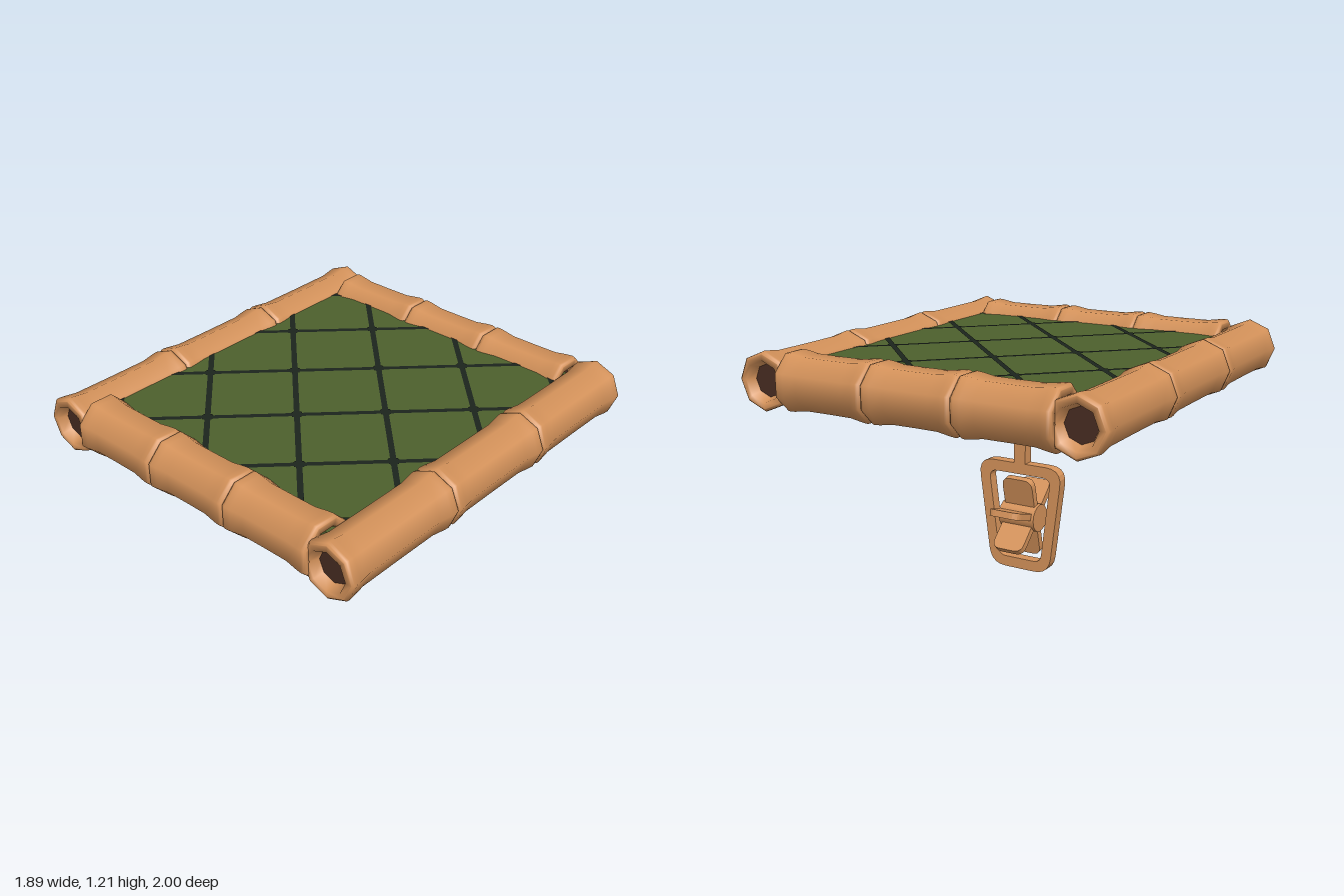
import * as THREE from 'three';

const mat = (name, color, side = THREE.FrontSide) => {
  const m = new THREE.MeshStandardMaterial({ color, side });
  m.name = name;
  return m;
};

export function createModel() {
  const wood = mat('wood', 0xd4925a);
  const hollow = mat('hollow brown', 0x482c22);
  const green = mat('leaf green', 0x4d602d);
  const cord = mat('dark cord', 0x1c241d, THREE.DoubleSide);
  const model = new THREE.Group();

  const add = (parent, name, geometry, material) => {
    const mesh = new THREE.Mesh(geometry, material);
    mesh.name = name;
    parent.add(mesh);
    return mesh;
  };

  // Eight-sided bamboo pole along local y; joints lists the ends and the nodes
  const bamboo = (name, joints, radius, phase) => {
    const pole = new THREE.Group();
    pole.name = name;
    const y0 = joints[0], y1 = joints[joints.length - 1];
    const pts = [[0.54, y0 + 0.055], [0.7, y0], [0.9, y0]];
    for (let i = 0; i < joints.length - 1; i++) {
      const a = joints[i], b = joints[i + 1];
      pts.push([0.92, a + 0.001], [0.985, a + 0.009], [1, a + 0.022], [0.98, a + 0.05], [0.91, a + 0.115],
        [0.905, (a + b) / 2], [0.91, b - 0.115], [0.98, b - 0.05], [1, b - 0.022], [0.985, b - 0.009], [0.92, b - 0.001]);
    }
    pts.push([0.9, y1], [0.7, y1], [0.54, y1 - 0.055]);
    const profile = pts.map(([r, y]) => new THREE.Vector2(r * radius, y));
    add(pole, 'pole wall', new THREE.LatheGeometry(profile, 8, phase), wood);
    // recessed dark core at both ends
    for (const s of [-1, 1]) {
      const core = new THREE.CircleGeometry(radius * 0.57, 8, phase);
      core.rotateX(-s * Math.PI / 2);
      core.translate(0, (s > 0 ? y1 : y0) - s * 0.046, 0);
      add(pole, 'hollow end', core, hollow);
    }
    model.add(pole);
    return pole;
  };

  const poleY = 1.064;
  for (const s of [-1, 1]) {
    const joints = s < 0 ? [-0.965, -0.287, 0.337, 0.978] : [-0.965, -0.323, 0.302, 0.978];
    const side = bamboo(s < 0 ? 'right pole' : 'left pole', joints, 0.141, 0);
    side.rotation.x = Math.PI / 2;
    side.position.set(s * 0.804, poleY, 0);

    const cross = bamboo(s < 0 ? 'back pole' : 'front pole', [-0.708, -0.23, 0.23, 0.708], 0.147, Math.PI / 8);
    cross.rotation.z = -Math.PI / 2;
    cross.position.set(0, poleY + 0.003, s * 0.865);
  }

  // Thick green panel filling the frame
  const halfX = 0.708, halfZ = 0.86, top = 1.14, bottom = 0.97;
  const panel = add(model, 'panel', new THREE.BoxGeometry(halfX * 2, top - bottom, halfZ * 2), green);
  panel.position.y = (top + bottom) / 2;

  // Diagonal cords with knots, on both faces of the panel
  const net = new THREE.Group();
  net.name = 'cord net';
  net.position.z = 0.008;
  model.add(net);
  const step = 0.577, offset = 0.286, w = 0.019, reach = 0.84;
  for (const face of [-1, 1]) {
    const y = (face > 0 ? top : bottom) + face * 0.003;
    for (const dir of [-1, 1]) {
      for (let k = -3; k <= 2; k++) {
        // cord follows z = dir * (x - c)
        const c = offset + k * step;
        const xa = Math.max(-halfX, c - reach), xb = Math.min(halfX, c + reach);
        const za = dir * (xa - c), zb = dir * (xb - c);
        const strip = new THREE.Shape([
          new THREE.Vector2(xa, za - w), new THREE.Vector2(xb, zb - w),
          new THREE.Vector2(xb, zb + w), new THREE.Vector2(xa, za + w)]);
        const cordMesh = add(net, 'cord', new THREE.ShapeGeometry(strip).rotateX(Math.PI / 2), cord);
        cordMesh.position.y = y;
      }
    }
    for (let row = -2; row <= 2; row++) {
      for (let col = -1; col <= 1; col++) {
        const x = (row % 2 ? -0.003 : -0.291) + col * step;
        if (Math.abs(x) > 0.65) continue;
        const knot = add(net, 'knot', new THREE.CircleGeometry(0.03, 8).rotateX(-Math.PI / 2), cord);
        knot.position.set(x, y + face * 0.001, row * step / 2);
      }
    }
  }

  // Polygon with rounded corners; each corner is [x, y, radius]
  const rounded = (path, corners) => {
    const n = corners.length;
    corners.forEach(([x, y, r], i) => {
      const p = new THREE.Vector2(x, y);
      const toward = (q) => new THREE.Vector2(q[0], q[1]).sub(p).setLength(r).add(p);
      const a = toward(corners[(i + n - 1) % n]), b = toward(corners[(i + 1) % n]);
      if (i === 0) path.moveTo(a.x, a.y); else path.lineTo(a.x, a.y);
      path.quadraticCurveTo(x, y, b.x, b.y);
    });
    path.closePath();
    return path;
  };
  const slab = (shape, depth) => new THREE.ExtrudeGeometry(shape, { depth, bevelEnabled: false, curveSegments: 5 })
    .translate(0, 0, -depth / 2);

  // Hanging pendant: stem and tapered loop
  const pendant = new THREE.Group();
  pendant.name = 'pendant';
  pendant.position.z = -0.006;
  model.add(pendant);
  add(pendant, 'stem', new THREE.BoxGeometry(0.066, 0.37, 0.055), wood).position.y = 0.732;
  const loop = rounded(new THREE.Shape(), [[-0.168, 0, 0.085], [0.168, 0, 0.085], [0.24, 0.56, 0.09], [-0.24, 0.56, 0.09]]);
  loop.holes.push(rounded(new THREE.Path(), [[-0.12, 0.055, 0.04], [-0.176, 0.504, 0.045], [0.176, 0.504, 0.045], [0.12, 0.055, 0.04]]));
  add(pendant, 'loop', slab(loop, 0.055), wood);

  // Paddle wheel inside the loop
  const wheel = new THREE.Group();
  wheel.name = 'paddle wheel';
  wheel.position.set(0, 0.28, 0);
  model.add(wheel);
  add(wheel, 'hub', new THREE.CylinderGeometry(0.071, 0.071, 0.2, 16).rotateZ(Math.PI / 2), wood);
  const blade = slab(rounded(new THREE.Shape(),
    [[-0.085, 0.02, 0.005], [0.085, 0.02, 0.005], [0.085, 0.213, 0.045], [-0.085, 0.213, 0.045]]), 0.034);
  for (let i = 0; i < 6; i++) {
    const paddle = add(wheel, 'paddle', blade, wood);
    paddle.rotation.x = THREE.MathUtils.degToRad(90 - (-17 + i * 60));
  }
  return model;
}
